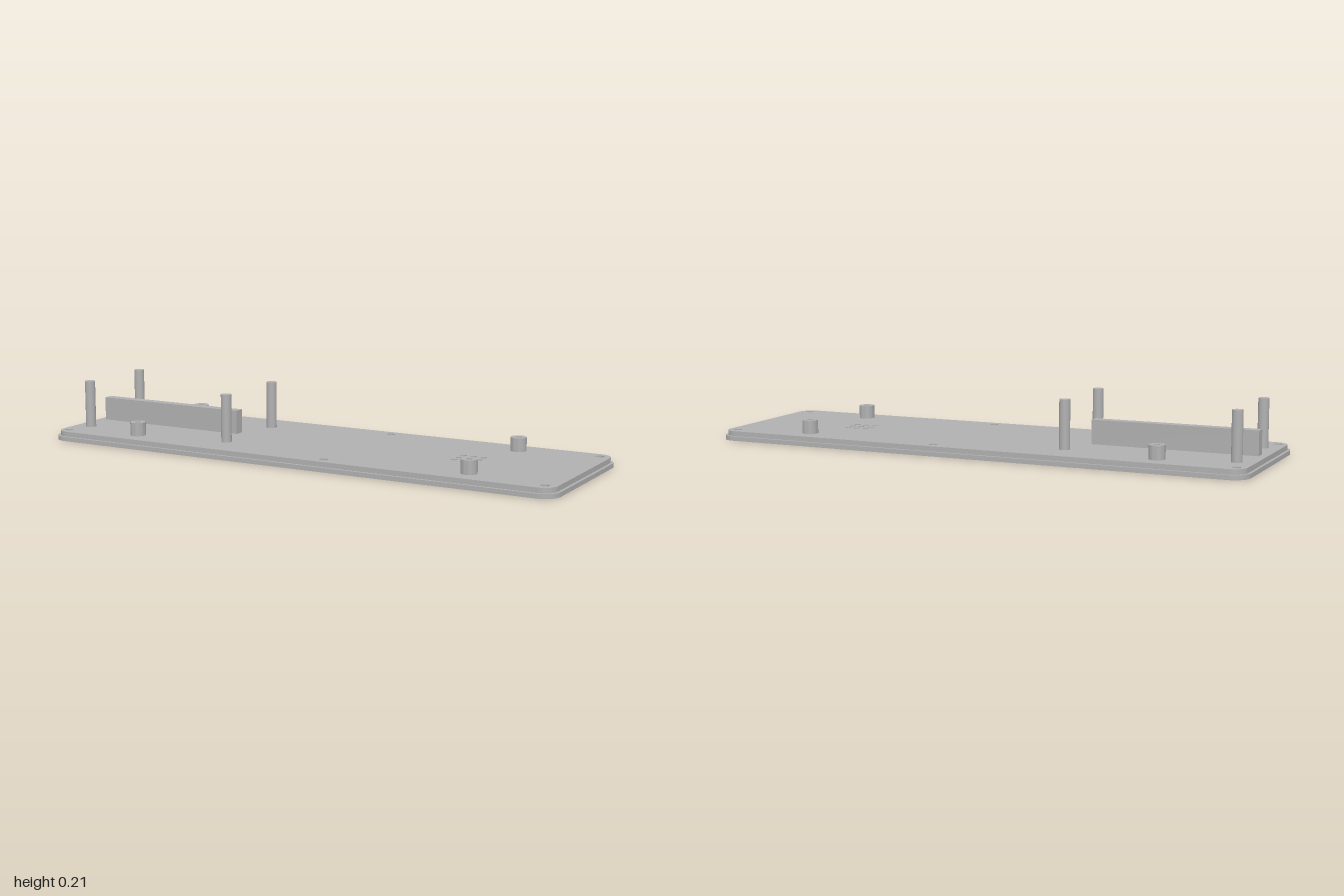
import * as THREE from 'three';
import { toCreasedNormals } from 'three/addons/utils/BufferGeometryUtils.js';

const STEP = 0.016, TOP = 0.034; // heights of the lip and of the plate's upper face

// all pairs of the given x and z positions
const pairs = (xs, zs) => xs.flatMap(x => zs.map(z => [x, z]));
const screws = pairs([-0.955, 0.14, 0.95], [-0.255, 0.255]);
const standoffs = pairs([-0.67, 0.665], [-0.211, 0.211]);
const posts = pairs([-0.927, -0.317], [-0.158, 0.158]);
const vents = pairs([0.532, 0.57, 0.608], [-0.038, 0, 0.038]);
const feet = pairs([-0.8, 0.8], [-0.195, 0.195]);

function roundedRect(hx, hz, r) {
  const s = new THREE.Shape();
  s.absarc(hx - r, hz - r, r, 0, Math.PI / 2);
  s.absarc(-hx + r, hz - r, r, Math.PI / 2, Math.PI);
  s.absarc(-hx + r, -hz + r, r, Math.PI, Math.PI * 1.5);
  s.absarc(hx - r, -hz + r, r, Math.PI * 1.5, Math.PI * 2);
  s.closePath();
  return s;
}

function drill(shape, points, r) {
  for (const [x, z] of points) shape.holes.push(new THREE.Path().absarc(x, -z, r, 0, Math.PI * 2, true));
  return shape;
}

// extrudes a plan shape upward from y0 to y1
function slab(shape, y0, y1) {
  const g = new THREE.ExtrudeGeometry(shape, { depth: y1 - y0, bevelEnabled: false, curveSegments: 16 });
  return toCreasedNormals(g.rotateX(-Math.PI / 2).translate(0, y0, 0), 0.6);
}

export function createModel() {
  const model = new THREE.Group();
  model.name = 'basePlate';
  const grey = new THREE.MeshStandardMaterial({ color: 0xb0b0b0 });
  grey.name = 'grey';
  const greyInner = new THREE.MeshStandardMaterial({ color: 0xb0b0b0, side: THREE.DoubleSide });
  greyInner.name = 'grey inner';
  const add = (name, geometry, material = grey) => {
    const m = new THREE.Mesh(geometry, material);
    m.name = name;
    model.add(m);
    return m;
  };

  // Stepped plate: lip with foot recesses beneath, then the inset upper layer
  const plan = (hx, hz, r, screwR) => {
    const s = roundedRect(hx, hz, r);
    drill(s, screws, screwR);
    drill(s, standoffs, 0.011);
    return drill(s, vents, 0.0115);
  };
  add('lipBottom', slab(drill(plan(1, 0.304, 0.06, 0.026), feet, 0.042), 0, 0.005));
  add('lip', slab(plan(1, 0.304, 0.06, 0.026), 0.005, STEP));
  add('upperPlate', slab(plan(0.99, 0.294, 0.05, 0.015), STEP, TOP));

  // Countersinks under the screw holes
  for (const [x, z] of screws) {
    add('countersink', new THREE.CylinderGeometry(0.015, 0.026, STEP, 32, 1, true), greyInner)
      .position.set(x, STEP / 2, z);
  }

  // Short hollow standoffs
  for (const [x, z] of standoffs) {
    const ring = new THREE.Shape().absarc(0, 0, 0.0285, 0, Math.PI * 2);
    add('standoff', slab(drill(ring, [[0, 0]], 0.011), TOP, 0.083)).position.set(x, 0, z);
  }

  // Tall solid posts
  for (const [x, z] of posts) {
    add('post', new THREE.CylinderGeometry(0.019, 0.019, 0.208 - TOP, 32))
      .position.set(x, (0.208 + TOP) / 2, z);
  }

  // Upright support rail
  add('rail', new THREE.BoxGeometry(0.6, 0.121 - TOP, 0.038)).position.set(-0.662, (0.121 + TOP) / 2, 0);

  return model;
}
